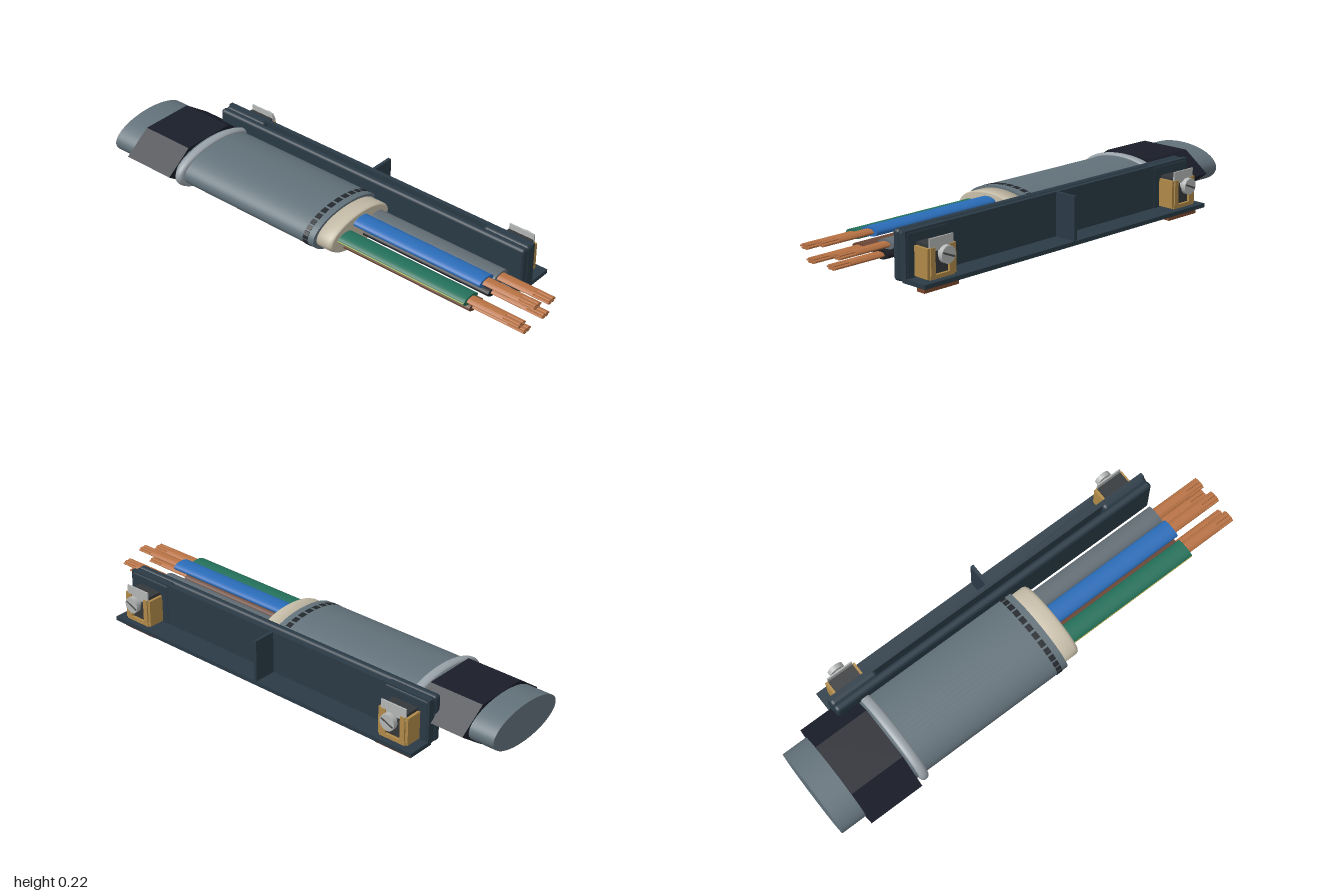
import * as THREE from 'three';
import { RoundedBoxGeometry } from 'three/addons/geometries/RoundedBoxGeometry.js';

const SQUASH = 0.42; // the cable is flattened vertically
const CY = 0.124, CZ = 0.06; // cable axis

const mat = (color) => new THREE.MeshStandardMaterial({ color });
const M = {
  sheath: mat(0x62717a), tape: mat(0x1a1e29), ring: mat(0x98a1a8), cream: mat(0xc6bda8),
  rail: mat(0x2a3a46), block: mat(0x35383a), copper: mat(0xb87244), foot: mat(0x7c482c),
  brass: mat(0xb08a48), steel: mat(0xb4b6b6), mark: mat(0x23282d), yellow: mat(0xb5b04a),
  slot: mat(0x4a4c4e),
};

function add(parent, name, geometry, material, x = 0, y = 0, z = 0) {
  const m = new THREE.Mesh(geometry, material);
  m.name = name;
  m.position.set(x, y, z);
  parent.add(m);
  return m;
}

// Box given by its min and max corners
function box(parent, name, material, x0, x1, y0, y1, z0, z1) {
  return add(parent, name, new THREE.BoxGeometry(x1 - x0, y1 - y0, z1 - z0), material,
    (x0 + x1) / 2, (y0 + y1) / 2, (z0 + z1) / 2);
}

// Rounded slab given by its min and max corners
function slab(parent, name, x0, x1, y0, y1, z0, z1, r) {
  return add(parent, name, new RoundedBoxGeometry(x1 - x0, y1 - y0, z1 - z0, 4, r), M.rail,
    (x0 + x1) / 2, (y0 + y1) / 2, (z0 + z1) / 2);
}

// Cylinder lying along x between x0 and x1
function rod(parent, name, material, r, x0, x1, y = 0, z = 0, sides = 32) {
  const g = new THREE.CylinderGeometry(r, r, x1 - x0, sides).rotateZ(-Math.PI / 2);
  return add(parent, name, g, material, (x0 + x1) / 2, y, z);
}

function createCable() {
  const cable = new THREE.Group();
  cable.name = 'cable';
  cable.position.set(0, CY, CZ);
  cable.scale.y = SQUASH;

  rod(cable, 'sheath', M.sheath, 0.195, -1, 0.09, 0, 0, 64);

  // Six-sided tape wrap with points towards the front and back
  const tape = new THREE.CylinderGeometry(0.233, 0.233, 0.24, 6).toNonIndexed();
  tape.computeVertexNormals();
  tape.rotateZ(-Math.PI / 2);
  add(cable, 'tapeWrap', tape, M.tape, -0.77);

  add(cable, 'ring', new THREE.TorusGeometry(0.2, 0.02, 16, 64).rotateY(Math.PI / 2), M.ring, -0.62);

  // Inner filler with a rounded end
  const profile = [[0, 0.07], [0.175, 0.07], [0.175, 0.15], [0.171, 0.16], [0.163, 0.165], [0, 0.165]]
    .map(([r, h]) => new THREE.Vector2(r, h));
  add(cable, 'innerFiller', new THREE.LatheGeometry(profile, 64).rotateZ(-Math.PI / 2), M.cream);

  // Dashed band near the stripped end
  const dashes = 30;
  for (let i = 0; i < dashes; i++) {
    const a = (i / dashes) * Math.PI * 2;
    const d = add(cable, 'bandDash', new THREE.BoxGeometry(0.024, 0.006, 0.03), M.mark,
      0.05, Math.cos(a) * 0.194, Math.sin(a) * 0.194);
    d.rotation.x = a;
  }
  return cable;
}

// Insulated conductor with a stranded copper end
function createWire(name, color, y, z) {
  const wire = new THREE.Group();
  wire.name = name;
  wire.position.set(0, y, z);
  wire.scale.y = SQUASH;
  rod(wire, 'insulation', mat(color), 0.043, 0.14, 0.77);
  rod(wire, 'copperCore', M.copper, 0.025, 0.76, 0.93, 0, 0, 20);
  rod(wire, 'strand', M.copper, 0.0085, 0.92, 1, 0, 0, 10);
  for (let i = 0; i < 6; i++) {
    const a = (i / 6) * Math.PI * 2;
    rod(wire, 'strand', M.copper, 0.0085, 0.76, 1, Math.sin(a) * 0.018, Math.cos(a) * 0.018, 10);
  }
  return wire;
}

// Screw terminal on the back of the rail, centred on x
function createTerminal(x) {
  const t = new THREE.Group();
  t.name = 'terminal';
  t.position.x = x;
  box(t, 'terminalBlock', M.block, -0.058, 0.058, 0.04, 0.177, -0.25, -0.18);
  for (const s of [-1, 1]) {
    add(t, 'cageSide', new THREE.BoxGeometry(0.012, 0.115, 0.07), M.brass, s * 0.064, 0.107, -0.222);
    add(t, 'cageFront', new THREE.BoxGeometry(0.022, 0.115, 0.012), M.brass, s * 0.045, 0.107, -0.255);
  }
  box(t, 'cageBottom', M.brass, -0.06, 0.06, 0.046, 0.062, -0.261, -0.249);
  box(t, 'clampPlate', M.steel, -0.058, 0.058, 0.15, 0.2, -0.257, -0.251);

  // Screw with thread and slotted head
  const along = (r, len) => new THREE.CylinderGeometry(r, r, len, 24).rotateX(Math.PI / 2);
  add(t, 'screwShaft', along(0.014, 0.05), M.steel, 0, 0.138, -0.255);
  for (let i = 0; i < 3; i++) {
    add(t, 'screwThread', new THREE.TorusGeometry(0.015, 0.003, 6, 20), M.steel, 0, 0.138, -0.26 - i * 0.006);
  }
  add(t, 'screwHead', along(0.034, 0.02), M.steel, 0, 0.138, -0.284);
  const slot = add(t, 'screwSlot', new THREE.BoxGeometry(0.06, 0.007, 0.002), M.slot, 0, 0.138, -0.294);
  slot.rotation.z = 0.4;

  box(t, 'copperFoot', M.foot, -0.084, 0.084, 0.001, 0.03, -0.255, -0.214);
  return t;
}

function createRail() {
  const rail = new THREE.Group();
  rail.name = 'mountingRail';
  const x0 = -0.745, x1 = 0.81;
  slab(rail, 'frontPlate', x0, x1, 0.025, 0.222, -0.147, -0.112, 0.014);
  box(rail, 'backPlate', M.rail, x0, x1, 0.03, 0.222, -0.183, -0.164);
  box(rail, 'bottomFlange', M.rail, x0, x1, 0.027, 0.044, -0.283, -0.164);
  box(rail, 'middleRib', M.rail, 0.022, 0.036, 0.03, 0.222, -0.28, -0.17);
  slab(rail, 'endPad', x0, -0.53, 0.025, 0.222, -0.186, -0.14, 0.016);
  slab(rail, 'endPad', 0.595, x1, 0.025, 0.222, -0.186, -0.14, 0.016);
  rail.add(createTerminal(-0.637), createTerminal(0.702));
  return rail;
}

export function createModel() {
  const model = new THREE.Group();
  model.name = 'cableOnRail';
  model.add(createCable(), createRail());

  const wires = [
    ['blueWire', 0x2a6cb8, 0.165, 0.062],
    ['greenWire', 0x23705a, 0.136, 0.155],
    ['greyWire', 0x626d74, 0.136, -0.03],
    ['brownWire', 0x6b4737, 0.09, 0.12],
    ['blackWire', 0x1c1e24, 0.09, 0.004],
  ].map((w) => createWire(...w));
  model.add(...wires);

  // Stripe along the front of the earth wire
  rod(wires[1], 'stripe', M.yellow, 0.012, 0.16, 0.768, 0, 0.033, 12);
  return model;
}
